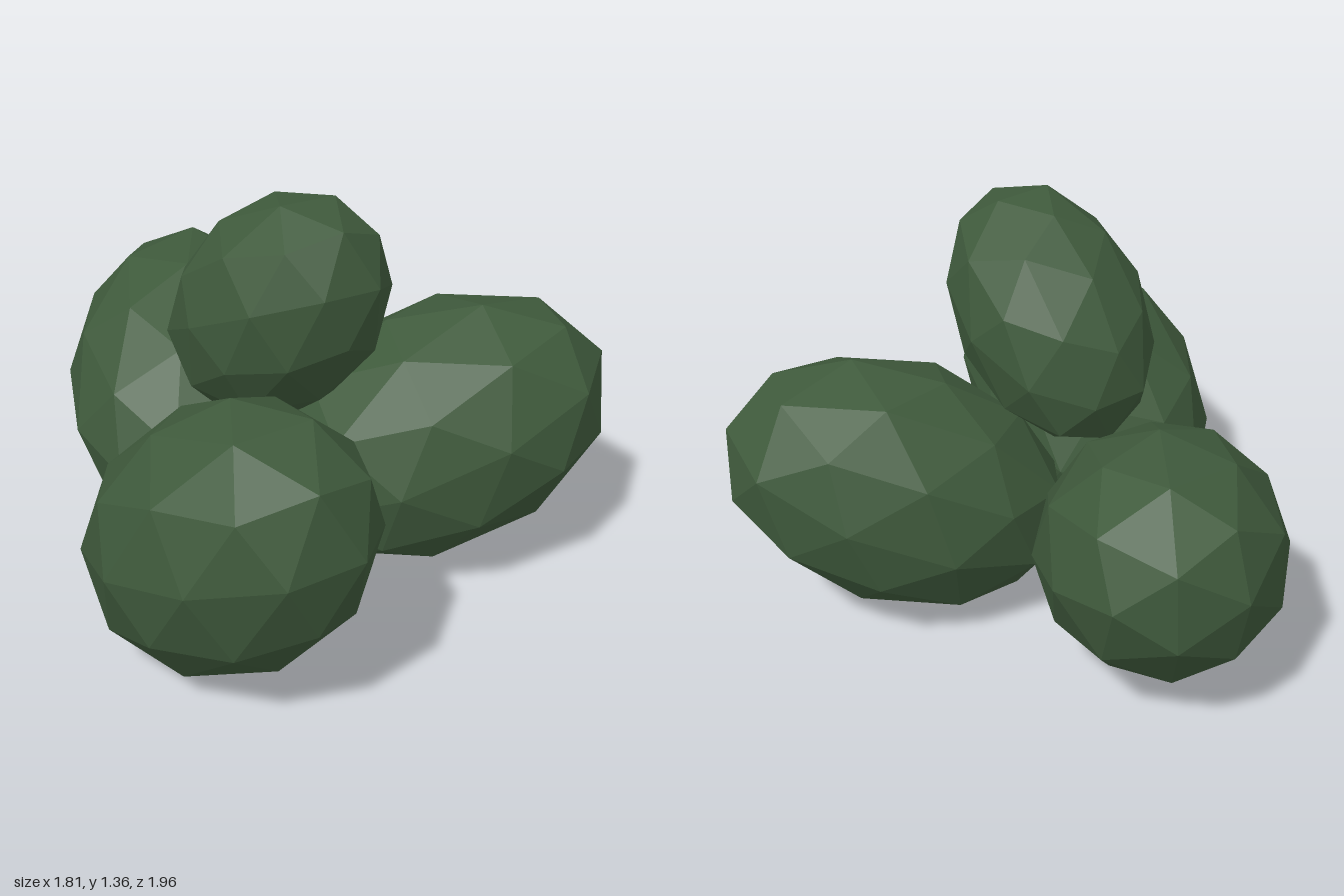
import * as THREE from 'three';

// Each lobe: centre, direction of its long axis, radius across, half length
const LOBES = [
  { name: 'frontRightLobe', at: [-0.5, 0.47, 0.48], dir: [0, 0.64, 0.77], radius: 0.405, half: 0.59 },
  { name: 'frontLeftLobe', at: [0.39, 0.48, 0.3], dir: [0.82, 0.41, 0.41], radius: 0.405, half: 0.585 },
  { name: 'backLobe', at: [-0.09, 0.46, -0.48], dir: [0.51, 0.44, -0.74], radius: 0.4, half: 0.585 },
  { name: 'topLobe', at: [-0.14, 0.99, 0.185], dir: [0.05, 0.75, 0.66], radius: 0.31, half: 0.45 },
];

export function createModel() {
  const group = new THREE.Group();
  group.name = 'leafCluster';
  const material = new THREE.MeshStandardMaterial({ color: 0x3f5a3c, flatShading: true });
  const ball = new THREE.IcosahedronGeometry(1, 1);
  const up = new THREE.Vector3(0, 1, 0);

  // Faceted balls stretched outwards along their axes
  for (const { name, at, dir, radius, half } of LOBES) {
    const lobe = new THREE.Mesh(ball, material);
    lobe.name = name;
    lobe.position.set(...at);
    lobe.quaternion.setFromUnitVectors(up, new THREE.Vector3(...dir).normalize());
    lobe.scale.set(radius, half, radius);
    group.add(lobe);
  }
  return group;
}
